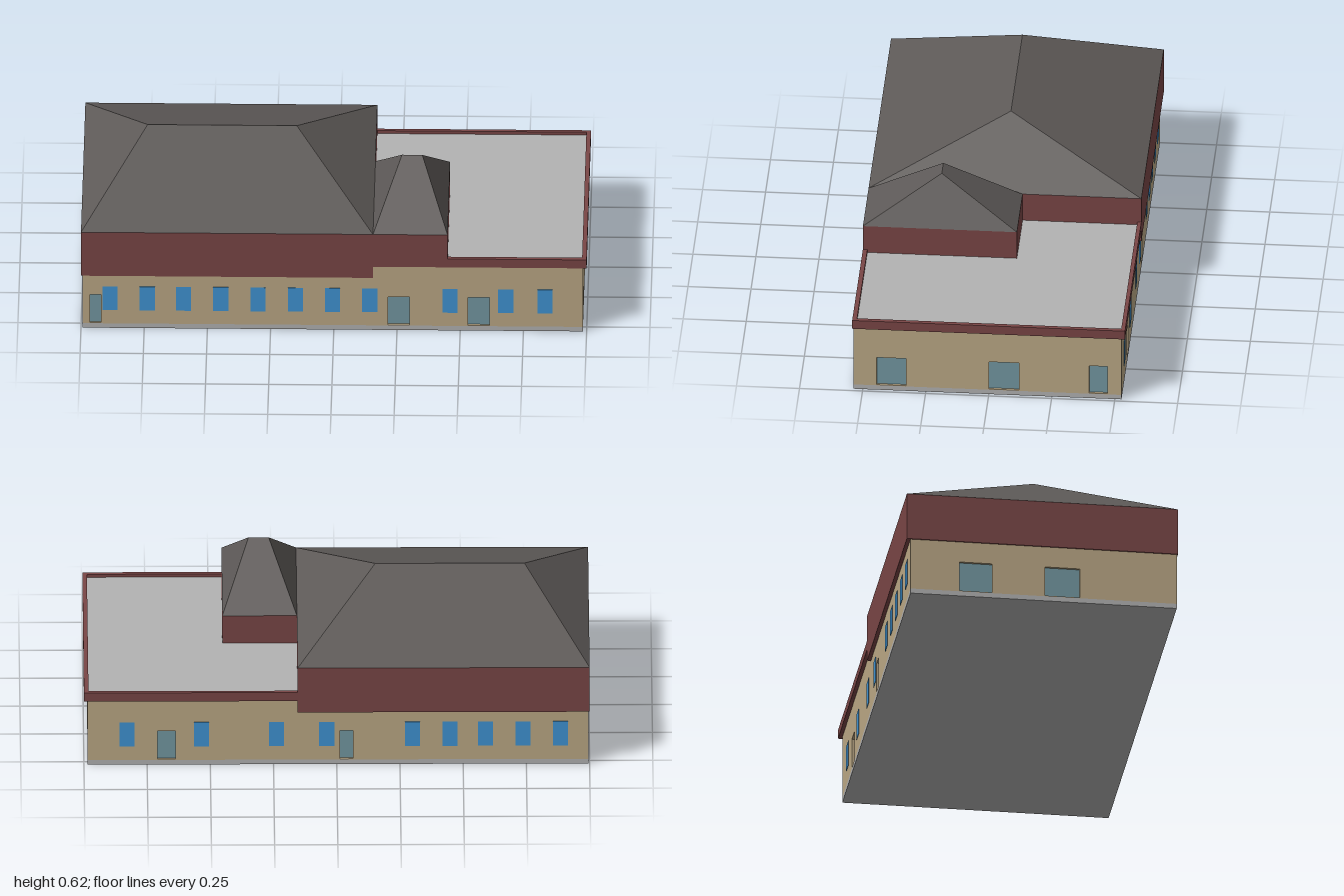
import * as THREE from 'three';

const mat = (name, color) => {
  const m = new THREE.MeshStandardMaterial({ color });
  m.name = name;
  return m;
};

export function createModel() {
  const tan = mat('tan wall', 0xbca986);
  const red = mat('red fascia', 0x7a4646);
  const slate = mat('dark roof', 0x5e5a58);
  const grey = mat('light grey', 0xb3b3b3);
  const blue = mat('window blue', 0x4094d4);
  const glass = mat('door glass', 0x7499a3);

  const model = new THREE.Group();
  model.name = 'building';

  const add = (name, geometry, material, parent = model) => {
    const mesh = new THREE.Mesh(geometry, material);
    mesh.name = name;
    parent.add(mesh);
    return mesh;
  };
  // box from its minimum and maximum corners
  const box = (name, x0, x1, y0, y1, z0, z1, material, parent) => {
    const mesh = add(name, new THREE.BoxGeometry(x1 - x0, y1 - y0, z1 - z0), material, parent);
    mesh.position.set((x0 + x1) / 2, (y0 + y1) / 2, (z0 + z1) / 2);
    return mesh;
  };

  // plinth under the whole building
  const X0 = -0.995, X1 = 0.985, Z0 = -0.526, Z1 = 0.537;
  box('plinth', X0, X1, 0, 0.02, Z0, Z1, grey);

  // wall with recessed glass doors and flush windows; u runs to the right seen from outside
  const T = 0.03;
  function wall(name, u0, u1, doors, windows, x, z, turn) {
    const group = new THREE.Group();
    group.name = name;
    const shape = new THREE.Shape([[u0, 0.02], [u1, 0.02], [u1, 0.29], [u0, 0.29]]
      .map(p => new THREE.Vector2(...p)));
    for (const [a, b] of doors) {
      shape.holes.push(new THREE.Path([[a, 0.023], [a, 0.148], [b, 0.148], [b, 0.023]]
        .map(p => new THREE.Vector2(...p))));
      box('glassDoor', a, b, 0.023, 0.148, -0.016, -0.01, glass, group);
    }
    const geo = new THREE.ExtrudeGeometry(shape, { depth: T, bevelEnabled: false });
    add('wallPanel', geo.translate(0, 0, -T), tan, group);
    for (const c of windows) box('window', c - 0.03, c + 0.03, 0.08, 0.186, -0.002, 0.002, blue, group);
    group.position.set(x, 0, z);
    group.rotation.y = turn;
    model.add(group);
  }
  wall('frontWall', X0, X1,
    [[-0.965, -0.92], [0.215, 0.3], [0.53, 0.615]],
    [-0.885, -0.738, -0.594, -0.447, -0.3, -0.152, -0.005, 0.142, 0.46, 0.68, 0.835], 0, Z1, 0);
  wall('backWall', -X1, -X0,
    [[-0.71, -0.637], [0.012, 0.065]],
    [-0.83, -0.535, -0.238, -0.04, 0.3, 0.448, 0.588, 0.736, 0.885], 0, Z0, Math.PI);
  wall('leftWall', -Z1 + T, -Z0 - T,
    [[-0.445, -0.328], [0, 0.12], [0.398, 0.471]], [], X1, 0, Math.PI / 2);
  wall('rightWall', Z0 + T, Z1 - T,
    [[-0.33, -0.2], [0.01, 0.15]], [], X0, 0, -Math.PI / 2);

  // red upper storey blocks
  box('mainFascia', -1, 0.155, 0.235, 0.43, -0.541, 0.541, red);
  box('smallFascia', 0.155, 0.45, 0.287, 0.43, -0.07, 0.541, red);

  // flat roof with a low parapet on three sides
  box('flatRoof', 0.155, 0.985, 0.287, 0.31, -0.53, 0.53, grey);
  box('frontParapet', 0.155, 1, 0.285, 0.323, 0.523, 0.541, red);
  box('backParapet', 0.155, 1, 0.285, 0.323, -0.541, -0.525, red);
  box('sideParapet', 0.982, 1, 0.285, 0.323, -0.525, 0.523, red);

  // hipped roof over a rectangle, with its ridge along x
  function hipRoof(name, x0, x1, z0, z1, r0, r1, rz) {
    const y = 0.43, top = 0.625;
    const a = [x0, y, z1], b = [x1, y, z1], c = [x1, y, z0], d = [x0, y, z0];
    const e = [r0, top, rz], f = [r1, top, rz];
    const faces = [a, b, f, a, f, e, b, c, f, c, d, e, c, e, f, d, a, e];
    const geo = new THREE.BufferGeometry();
    geo.setAttribute('position', new THREE.Float32BufferAttribute(faces.flat(), 3));
    geo.computeVertexNormals();
    add(name, geo, slate);
  }
  hipRoof('mainRoof', -1, 0.155, -0.541, 0.541, -0.745, -0.155, 0);
  hipRoof('smallRoof', 0.155, 0.45, -0.07, 0.541, 0.265, 0.345, 0.236);

  return model;
}
